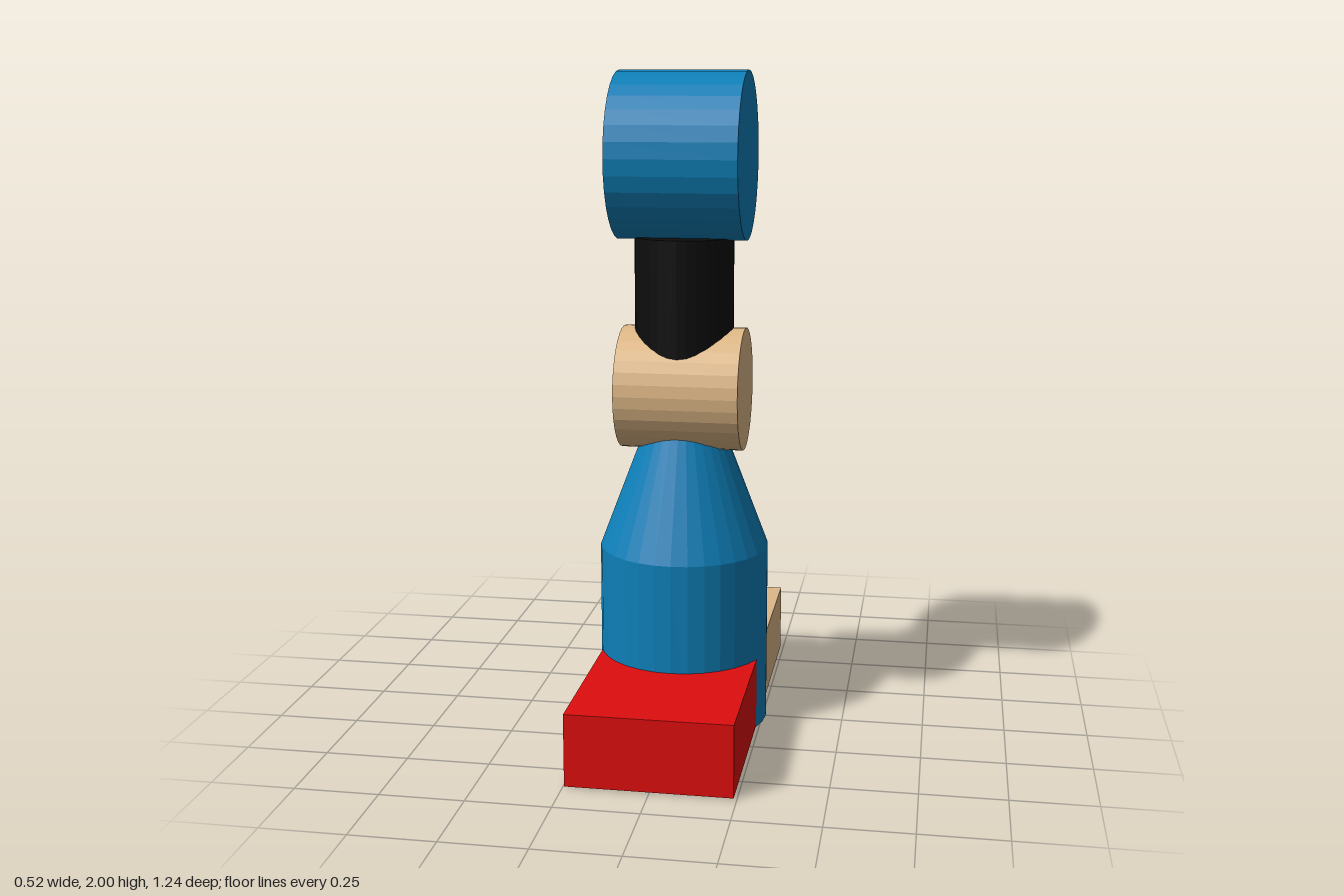
import * as THREE from 'three';

const flat = (color) => new THREE.MeshStandardMaterial({ color, flatShading: true, side: THREE.DoubleSide });

export function createModel() {
  const blue = flat(0x0e7fb8);
  const tan = flat(0xdeb887);
  const red = flat(0xde0e0e);
  const black = flat(0x0d0d0d);
  const group = new THREE.Group();
  const SIDES = 32;

  const add = (name, geometry, material, x = 0, y = 0, z = 0) => {
    const mesh = new THREE.Mesh(geometry, material);
    mesh.name = name;
    mesh.position.set(x, y, z);
    group.add(mesh);
    return mesh;
  };

  // Feet: one block to the front, one to the back, both meeting inside the body
  const foot = () => new THREE.BoxGeometry(0.486, 0.217, 0.57);
  add('frontFoot', foot(), red, -0.002, 0.1125, 0.337);
  add('backFoot', foot(), tan, -0.002, 0.1125, -0.337);

  // Body: straight drum with a tapered shoulder running into the joint
  const profile = [[0, 0], [0.26, 0], [0.26, 0.555], [0.11, 0.95], [0, 0.95]]
    .map(([r, y]) => new THREE.Vector2(r, y));
  add('body', new THREE.LatheGeometry(profile, SIDES), blue);

  // Joint: solid drum lying across the body
  add('joint', new THREE.CylinderGeometry(0.187, 0.187, 0.374, SIDES).rotateZ(Math.PI / 2), tan, 0, 1.048, 0);

  // Neck: rises from the joint and just pokes into the head
  add('neck', new THREE.CylinderGeometry(0.15, 0.15, 0.41, SIDES), black, 0, 1.305, 0);

  // Head: hollow drum, closed at +x and open at -x
  add('headShell', new THREE.CylinderGeometry(0.25, 0.25, 0.388, SIDES, 1, true).rotateZ(Math.PI / 2), blue, -0.002, 1.75, 0);
  add('headCap', new THREE.CircleGeometry(0.25, SIDES).rotateY(Math.PI / 2), blue, 0.192, 1.75, 0);

  return group;
}
